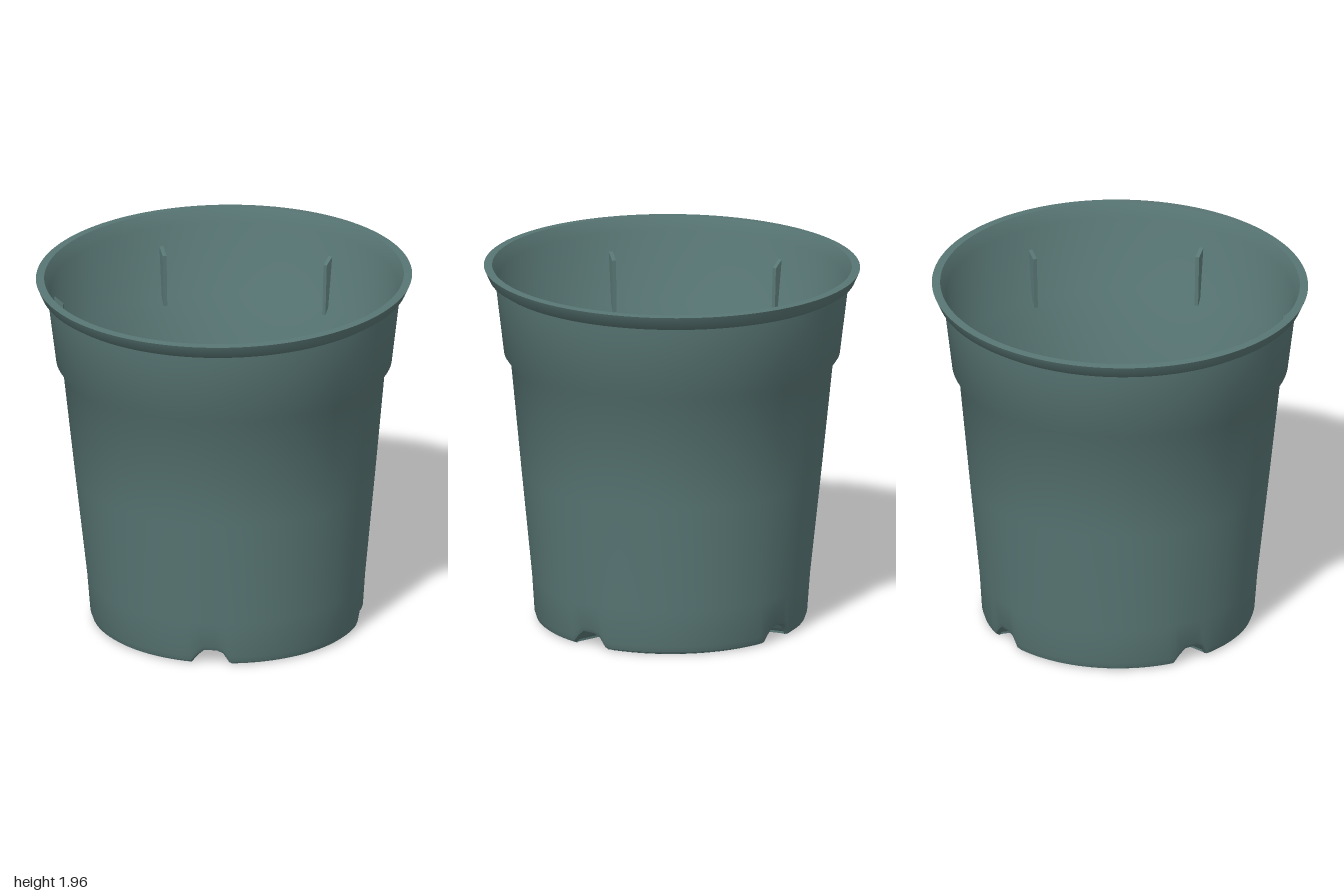
import * as THREE from 'three';
import { mergeVertices, toCreasedNormals } from 'three/addons/utils/BufferGeometryUtils.js';

const PHI0 = -0.19;      // direction of the first drainage channel
const HALF = 0.155;      // half angle of a channel mouth
const FLOOR_R = 0.7;
const FLOOR_Y = 0.008;
const SHIFT = 0.014;     // the base sits slightly off the rim's centre
const QUARTER = Math.PI / 2;

// Height of the arched channel mouth at an angle from its middle
function archHeight(a) {
  return 0.075 * THREE.MathUtils.smoothstep(HALF - Math.abs(a), 0, 0.09);
}

// Signed angle to the nearest channel
function angleToChannel(phi) {
  const t = (phi - PHI0) / QUARTER;
  return (t - Math.round(t)) * QUARTER;
}

function finish(geometry, crease = 0.6) {
  geometry.deleteAttribute('uv');
  geometry.deleteAttribute('normal');
  return toCreasedNormals(mergeVertices(geometry, 1e-4), crease);
}

// Point on the floor plan; shape y is -z
const plan = (r, phi) => new THREE.Vector2(r * Math.sin(phi), -r * Math.cos(phi));

// Thin wall with collar, rolled lip and notched foot
function wallGeometry() {
  const profile = [
    [0.69, 0.004], [0.713, 0.018], [0.724, 0.05], [0.738, 0.25], [0.797, 0.83], [0.855, 1.42],
    [0.892, 1.475], [0.938, 1.86], [0.972, 1.882], [0.999, 1.943], [0.955, 1.946],
    [0.923, 1.875], [0.874, 1.485], [0.836, 1.425], [0.718, 0.25], [0.703, 0.05], [0.695, 0.022],
  ].map(([r, y]) => new THREE.Vector2(r, y));
  const geometry = new THREE.LatheGeometry(profile, 128);
  const p = geometry.attributes.position;
  for (let i = 0; i < p.count; i++) {
    const x = p.getX(i), y = p.getY(i), z = p.getZ(i);
    const lift = archHeight(angleToChannel(Math.atan2(x, z))) * Math.max(0, 1 - y / 0.25);
    const tilt = y > 1.85 ? 0.014 * x : 0;
    p.setY(i, y + lift + tilt);
    p.setX(i, x + SHIFT * Math.max(0, 1 - y / 1.42));
  }
  return finish(geometry);
}

// Floor with channel cut-outs, four round holes and four curved slots
function floorGeometry() {
  const outline = [];
  for (let k = 0; k < 4; k++) {
    const phi = PHI0 + k * QUARTER;
    outline.push(plan(0.28, phi));
    for (let i = 0; i <= 24; i++) {
      outline.push(plan(FLOOR_R, phi + HALF + (QUARTER - 2 * HALF) * i / 24));
    }
  }
  const shape = new THREE.Shape(outline);
  for (let k = 0; k < 4; k++) {
    const c = plan(0.21, -0.16 + k * QUARTER);
    const hole = new THREE.Path();
    hole.absarc(c.x, c.y, 0.042, 0, Math.PI * 2, true);
    shape.holes.push(hole);

    const mid = 0.585 + k * QUARTER, slot = [];
    for (let i = 0; i <= 6; i++) slot.push(plan(0.615, mid - 0.26 + 0.52 * i / 6));
    slot.push(plan(0.59, mid + 0.3), plan(0.565, mid + 0.3));
    for (let i = 6; i >= 0; i--) slot.push(plan(0.543, mid - 0.26 + 0.52 * i / 6));
    slot.push(plan(0.565, mid - 0.3), plan(0.59, mid - 0.3));
    shape.holes.push(new THREE.Path(slot));
  }
  const geometry = new THREE.ExtrudeGeometry(shape, { depth: 0.015, bevelEnabled: false, curveSegments: 5 });
  geometry.rotateX(-QUARTER);
  geometry.translate(SHIFT, FLOOR_Y, 0);
  return geometry;
}

// Tapering arched roof of one channel, a fan from its inner tip
function channelGeometry() {
  const n = 16, y = FLOOR_Y + 0.012;
  const points = [0, y, 0.28], index = [];
  for (let i = 0; i <= n; i++) {
    const a = HALF * (2 * i / n - 1);
    points.push(FLOOR_R * Math.sin(a), y + archHeight(a), FLOOR_R * Math.cos(a));
    if (i < n) index.push(0, i + 1, i + 2);
  }
  const geometry = new THREE.BufferGeometry();
  geometry.setAttribute('position', new THREE.Float32BufferAttribute(points, 3));
  geometry.setIndex(index);
  geometry.computeVertexNormals();
  return geometry;
}

// Slim upright stacking rib inside the collar
function ribGeometry() {
  const shape = new THREE.Shape([[0.85, 1.44], [0.88, 1.46], [0.913, 1.77], [0.862, 1.73]]
    .map(([x, y]) => new THREE.Vector2(x, y)));
  const geometry = new THREE.ExtrudeGeometry(shape, { depth: 0.022, bevelEnabled: false });
  geometry.translate(0, 0, -0.011);
  return geometry;
}

export function createModel() {
  const model = new THREE.Group();
  model.name = 'plantPot';
  const plastic = new THREE.MeshStandardMaterial({ color: 0x587674, side: THREE.DoubleSide });
  plastic.name = 'greenPlastic';

  const add = (name, geometry) => {
    const mesh = new THREE.Mesh(geometry, plastic);
    mesh.name = name;
    model.add(mesh);
    return mesh;
  };

  add('wall', wallGeometry());
  add('floor', floorGeometry());

  const channel = channelGeometry();
  for (let k = 0; k < 4; k++) {
    const mesh = add('drainChannel', channel);
    mesh.rotation.y = PHI0 + k * QUARTER;
    mesh.position.x = SHIFT;
  }

  const rib = ribGeometry();
  for (let k = 0; k < 6; k++) {
    add('stackingRib', rib).rotation.y = 1.35 - QUARTER + k * Math.PI / 3;
  }
  return model;
}
